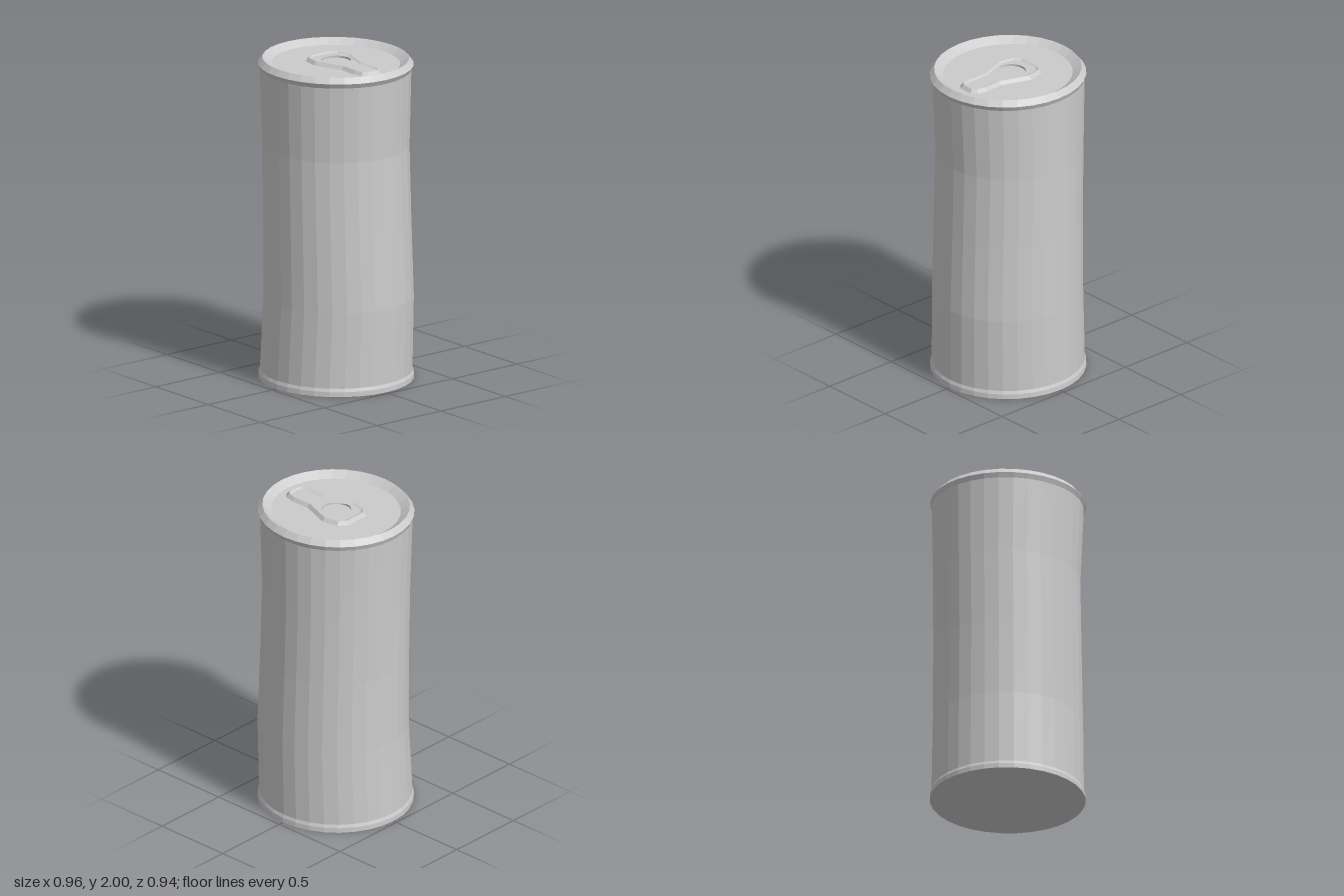
import * as THREE from 'three';

const SIDES = 32;
const FLOOR = 1.965; // height of the recessed lid panel

function material() {
  return new THREE.MeshStandardMaterial({ color: 0xcccccc, flatShading: true });
}

function addMesh(group, name, geometry) {
  const mesh = new THREE.Mesh(geometry, material());
  mesh.name = name;
  group.add(mesh);
  return mesh;
}

// Faceted skin through closed rings of [x, y, z] points with equal counts.
function loft(rings) {
  const n = rings[0].length;
  const index = [];
  for (let r = 0; r < rings.length - 1; r++) {
    for (let i = 0; i < n; i++) {
      const a = r * n + i, b = r * n + (i + 1) % n;
      index.push(a, a + n, b, b, a + n, b + n);
    }
  }
  const geometry = new THREE.BufferGeometry();
  geometry.setAttribute('position', new THREE.Float32BufferAttribute(rings.flat(2), 3));
  geometry.setIndex(index);
  const flat = geometry.toNonIndexed();
  flat.computeVertexNormals();
  return flat;
}

// Elliptical ring: height, centre x, centre z, radius x, radius z.
function ring([y, cx, cz, rx, rz]) {
  return Array.from({ length: SIDES }, (_, i) => {
    const a = -i / SIDES * Math.PI * 2;
    return [cx + rx * Math.cos(a), y, cz - rz * Math.sin(a)];
  }).reverse();
}

// Moves a counter-clockwise outline inwards by d.
function inset(points, d) {
  const n = points.length;
  return points.map((p, i) => {
    const e1 = p.clone().sub(points[(i + n - 1) % n]).normalize();
    const e2 = points[(i + 1) % n].clone().sub(p).normalize();
    const n1 = new THREE.Vector2(-e1.y, e1.x);
    const n2 = new THREE.Vector2(-e2.y, e2.x);
    const m = n1.add(n2);
    return p.clone().addScaledVector(m, 2 * d / m.lengthSq());
  });
}

export function createModel() {
  const can = new THREE.Group();
  can.name = 'can';

  // Slightly bent, waisted wall with flared ends
  const wall = [
    [0, 0, 0, 0.477, 0.468],
    [0.03, 0, 0, 0.476, 0.466],
    [0.05, 0, 0, 0.468, 0.458],
    [0.52, 0.013, -0.009, 0.464, 0.449],
    [1.0, 0.004, -0.005, 0.455, 0.445],
    [1.46, -0.007, -0.003, 0.452, 0.443],
    [1.935, -0.003, 0.003, 0.469, 0.453],
  ];
  const rim = [
    wall[wall.length - 1],
    [1.965, 0, 0.003, 0.482, 0.465],
    [2, 0, 0.004, 0.453, 0.437],
    [FLOOR, 0, 0.003, 0.4, 0.382],
  ];
  // Rings run so that successive levels face outwards
  const skin = (levels) => loft(levels.map(ring).map((r) => r.reverse()).map((r) => r.reverse()));
  const orient = (levels) => {
    const g = skin(levels);
    const p = g.attributes.position, nrm = g.attributes.normal;
    // Reverse the winding when the first facet looks inwards
    if (p.getX(0) * nrm.getX(0) + p.getZ(0) * nrm.getZ(0) < 0) {
      return loft(levels.map((l) => ring(l).reverse()));
    }
    return g;
  };
  addMesh(can, 'wall', orient(wall));
  addMesh(can, 'rim', orient(rim));

  // Flat discs closing the base and the lid
  const lid = addMesh(can, 'lid', new THREE.CircleGeometry(1, SIDES));
  lid.rotation.x = -Math.PI / 2;
  lid.scale.set(0.4, 0.382, 1);
  lid.position.set(0, FLOOR, 0.003);
  const base = addMesh(can, 'base', new THREE.CircleGeometry(1, SIDES));
  base.rotation.x = Math.PI / 2;
  base.scale.set(0.477, 0.468, 1);

  // Pull tab: half outline mirrored about its long axis, counter-clockwise
  const half = [
    [0.355, 0.045], [0.325, 0.078], [0.265, 0.09], [0.145, 0.086],
    [-0.04, 0.15], [-0.145, 0.13], [-0.187, 0.08],
  ];
  const outline = [
    ...half,
    ...half.map(([x, y]) => [x, -y]).reverse(),
  ].map(([x, y]) => new THREE.Vector2(x, y));

  const tab = new THREE.Group();
  tab.name = 'pullTab';
  tab.position.set(0, FLOOR, -0.01);
  can.add(tab);

  // Raised edge, dipping to the inner plate
  const edge = [[0, 0], [0.017, 0.022], [0.022, 0.022], [0.036, 0.014]].map(([d, y]) =>
    inset(outline, d).map((p) => [p.x, y, -p.y]).reverse());
  addMesh(tab, 'tabEdge', loft(edge.map((r) => r.reverse()))).material.side = THREE.DoubleSide;

  // Plate with a round and a rounded-square opening
  const plate = new THREE.Shape(inset(outline, 0.036));
  const roundHole = new THREE.Path().absarc(-0.015, 0, 0.09, 0, Math.PI * 2, true);
  const fingerHole = new THREE.Path();
  fingerHole.moveTo(0.175, -0.056).lineTo(0.175, 0.05).lineTo(0.235, 0.05);
  fingerHole.quadraticCurveTo(0.275, 0.045, 0.275, 0.015).lineTo(0.275, -0.02);
  fingerHole.quadraticCurveTo(0.275, -0.052, 0.235, -0.056).closePath();
  plate.holes.push(roundHole, fingerHole);
  const plateGeometry = new THREE.ExtrudeGeometry(plate, {
    depth: 0.013, bevelEnabled: false, curveSegments: 16,
  });
  plateGeometry.rotateX(-Math.PI / 2).translate(0, 0.001, 0);
  addMesh(tab, 'tabPlate', plateGeometry);

  return can;
}
